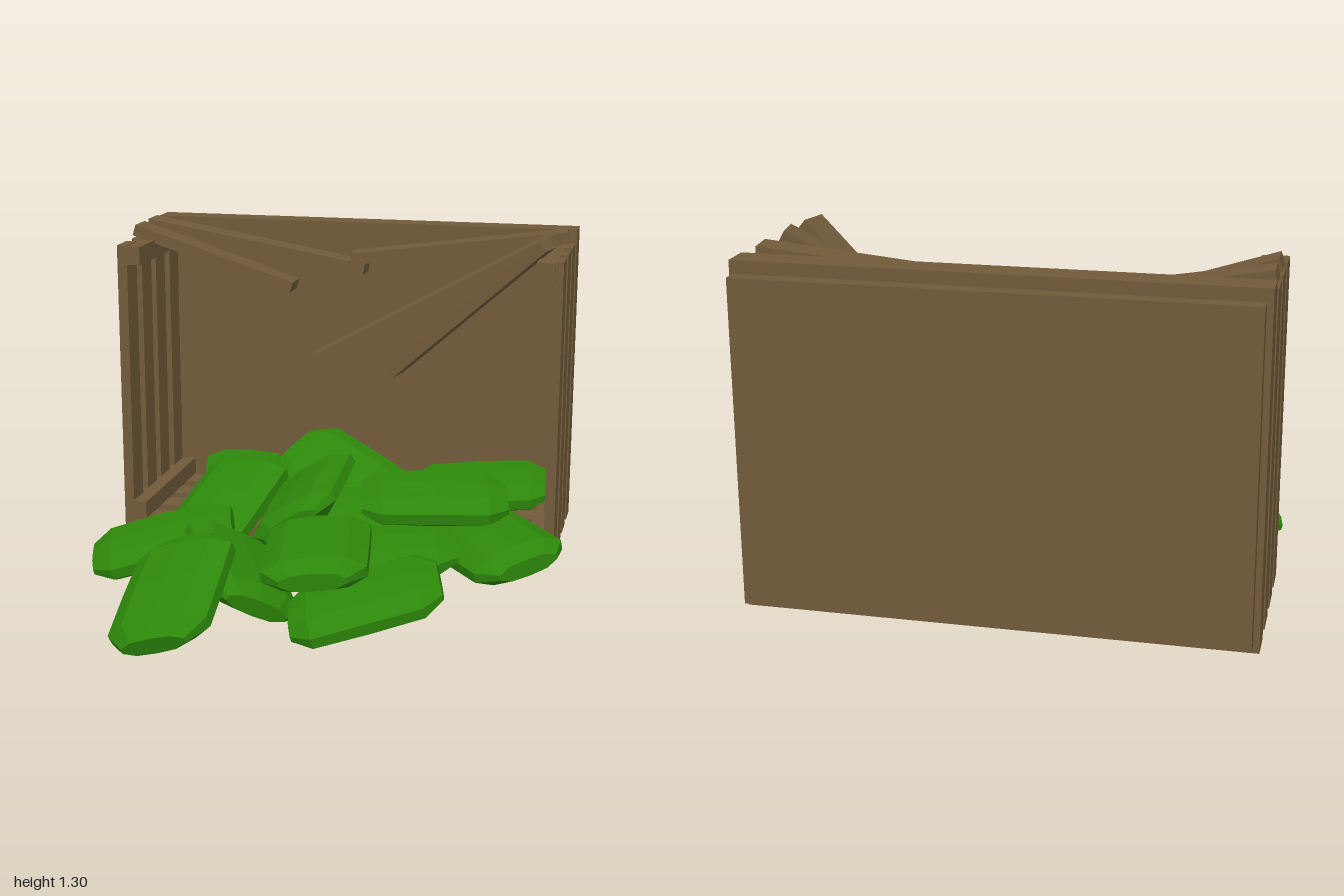
import * as THREE from 'three';

const wood = new THREE.MeshStandardMaterial({ color: 0x705a3a });
wood.name = 'brown wood';
const green = new THREE.MeshStandardMaterial({ color: 0x2d870a, flatShading: true });
green.name = 'melon green';

// Box given by its lower and upper corners
function box(name, x0, x1, y0, y1, z0, z1) {
  const m = new THREE.Mesh(new THREE.BoxGeometry(x1 - x0, y1 - y0, z1 - z0), wood);
  m.position.set((x0 + x1) / 2, (y0 + y1) / 2, (z0 + z1) / 2);
  m.name = name;
  return m;
}

// Broken plank running between two points, its broad face as level as possible
function plank(name, a, b, width = 0.11, thick = 0.045) {
  const p = new THREE.Vector3(...a), q = new THREE.Vector3(...b);
  const dir = q.clone().sub(p);
  const m = new THREE.Mesh(new THREE.BoxGeometry(dir.length(), thick, width), wood);
  m.position.copy(p).add(q).multiplyScalar(0.5);
  dir.normalize();
  const side = new THREE.Vector3().crossVectors(dir, new THREE.Vector3(0, 1, 0)).normalize();
  const up = new THREE.Vector3().crossVectors(side, dir);
  m.quaternion.setFromRotationMatrix(new THREE.Matrix4().makeBasis(dir, up, side));
  m.name = name;
  return m;
}

// Flattened faceted melon: ten-sided sections lofted along z, capped at both ends
function melonGeometry() {
  const section = [[1, -0.3], [1, 0.3], [0.62, 0.88], [0, 1], [-0.62, 0.88],
    [-1, 0.3], [-1, -0.3], [-0.62, -0.88], [0, -1], [0.62, -0.88]];
  const stations = [[-0.275, 0.12, 0.033], [-0.2, 0.188, 0.064], [0, 0.19, 0.07],
    [0.2, 0.188, 0.064], [0.275, 0.12, 0.033]];
  const n = section.length, last = stations.length - 1;
  const pos = [], idx = [];
  for (const [z, w, t] of stations) for (const [x, y] of section) pos.push(x * w, y * t, z);
  for (let s = 0; s < last; s++) {
    for (let i = 0; i < n; i++) {
      const a = s * n + i, b = s * n + (i + 1) % n;
      idx.push(a, b, b + n, a, b + n, a + n);
    }
  }
  for (let i = 1; i < n - 1; i++) {
    idx.push(0, i + 1, i);
    idx.push(last * n, last * n + i, last * n + i + 1);
  }
  const g = new THREE.BufferGeometry();
  g.setAttribute('position', new THREE.Float32BufferAttribute(pos, 3));
  g.setIndex(idx);
  g.computeVertexNormals();
  return g;
}

export function createModel() {
  const model = new THREE.Group();

  // Crate: solid back, slatted sides and floor
  const crate = new THREE.Group();
  crate.name = 'crate';
  crate.add(box('backPanel', -0.88, 0.84, 0.09, 1.23, -1, -0.943));
  for (const z of [-0.345, -0.52, -0.69, -0.87]) {
    const z0 = z - 0.056, z1 = z + 0.056;
    crate.add(box('floorSlat', -0.9, 0.86, 0.05, 0.1, z0, z1));
    crate.add(box('rightSideSlat', -0.9, -0.86, 0.09, 1.225, z0, z1));
    crate.add(box('leftSideSlat', 0.82, 0.86, 0.09, 1.225, z0, z1));
  }
  crate.add(box('topSlat', -0.9, 0.86, 1.22, 1.27, -0.925, -0.815));

  // Rails joining the side slats
  for (const y of [0.098, 1.15]) {
    crate.add(box('rightRail', -0.877, -0.804, y, y + 0.072, -0.945, -0.28));
    crate.add(box('leftRail', 0.76, 0.83, y, y + 0.072, -0.945, -0.28));
  }

  // Snapped top slats hanging inwards
  crate.add(plank('brokenSlat', [-0.89, 1.26, -0.69], [0.025, 1.105, -0.69]));
  crate.add(plank('brokenSlat', [-0.89, 1.26, -0.52], [-0.235, 1.05, -0.52]));
  crate.add(plank('brokenSlat', [0.835, 1.26, -0.715], [-0.02, 1.155, -0.635]));
  crate.add(plank('brokenSlat', [0.81, 1.28, -0.545], [-0.12, 0.78, -0.415]));
  crate.add(plank('brokenSlat', [0.79, 1.28, -0.35], [0.185, 0.73, -0.49]));
  model.add(crate);

  // Spilled melons: x, y, z, yaw, pitch, roll in degrees
  const melons = new THREE.Group();
  melons.name = 'melons';
  const geometry = melonGeometry();
  const places = [
    [-0.355, 0.19, 0.725, 3, 20, 18],
    [-0.6, 0.15, 0.1, 106, -15, 6],
    [-0.455, 0.2, -0.265, -14, 24, 8],
    [-0.1, 0.28, -0.14, 2, 5, 34],
    [0.42, 0.34, -0.085, 102, 0, 8],
    [0.645, 0.17, -0.085, 37, 0, 12],
    [0.075, 0.25, 0.37, 10, 3, 5],
    [0.28, 0.135, 0.51, 102, -17, 10],
    [-0.225, 0.14, 0.33, 28, 10, -28],
    [0.265, 0.18, 0.12, 102, -5, 5],
    [0.08, 0.17, -0.34, 60, 4, 5],
    [-0.02, 0.24, -0.54, 70, 22, 25],
    [0.52, 0.22, -0.65, 98, -4, 8],
    [-0.46, 0.18, -0.62, 15, 6, -5],
  ];
  for (const [x, y, z, ...angles] of places) {
    const m = new THREE.Mesh(geometry, green);
    const [yaw, pitch, roll] = angles.map(THREE.MathUtils.degToRad);
    m.position.set(x, y, z);
    m.rotation.set(pitch, yaw, roll, 'YXZ');
    m.name = 'melon';
    melons.add(m);
  }
  model.add(melons);
  return model;
}
